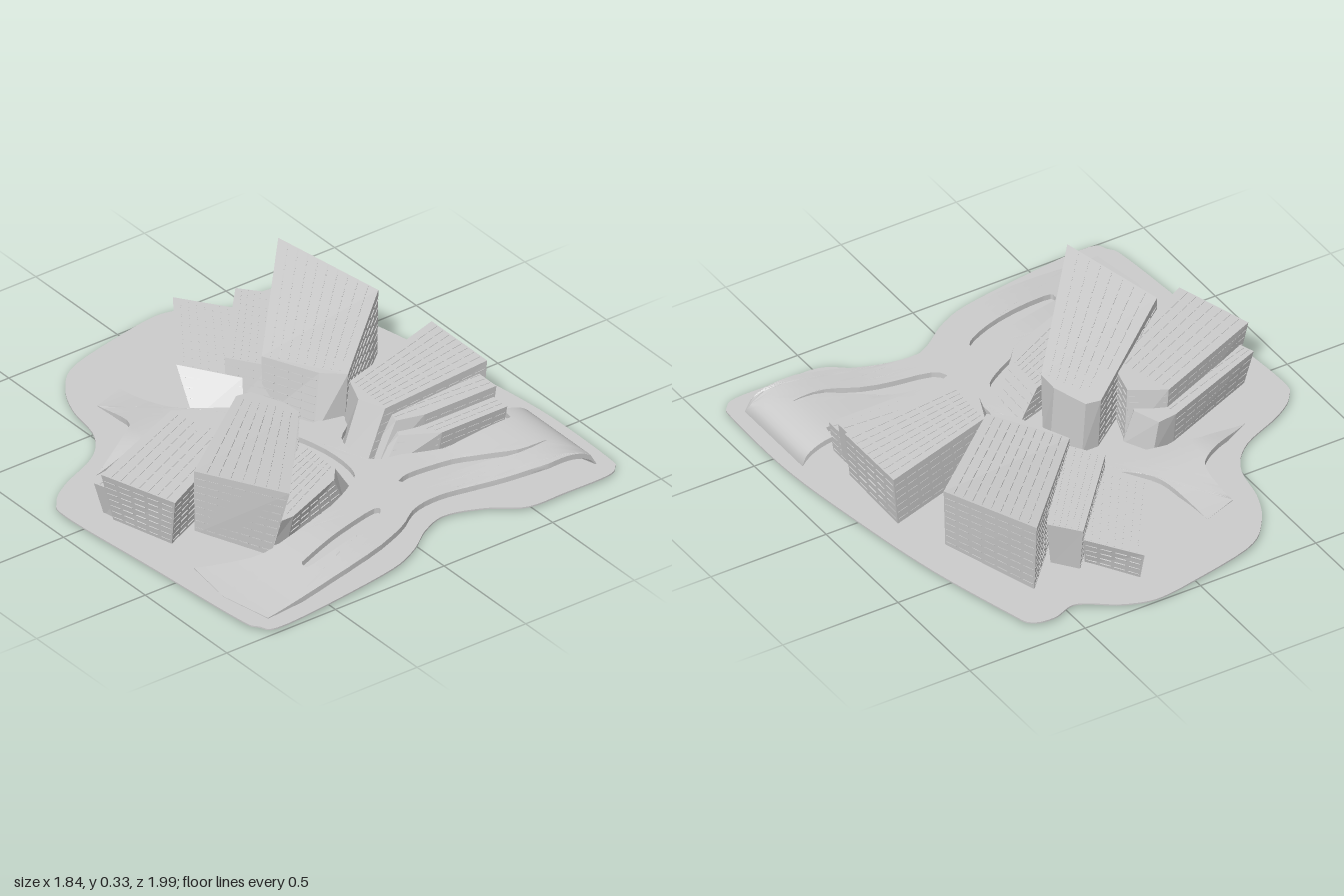
import * as THREE from 'three';
import { mergeGeometries, toCreasedNormals } from 'three/addons/utils/BufferGeometryUtils.js';

const grey = new THREE.MeshStandardMaterial({ color: 0xcccccc });
const V = (p) => new THREE.Vector3(...p);
const P = ([x, z]) => new THREE.Vector2(x, -z);

function mesh(name, geometry) {
  const m = new THREE.Mesh(geometry, grey);
  m.name = name;
  return m;
}

// Outline in plan: a chain of smooth runs meeting at corners
function outline(runs, Type = THREE.Shape) {
  const s = new Type();
  s.moveTo(...P(runs[0][0]).toArray());
  runs.forEach((run, i) => {
    if (i) s.lineTo(...P(run[0]).toArray());
    if (run.length > 1) s.splineThru(run.slice(1).map(P));
  });
  s.closePath();
  return s;
}

function slab(shape, depth, curveSegments) {
  return new THREE.ExtrudeGeometry(shape, { depth, bevelEnabled: false, curveSegments }).rotateX(-Math.PI / 2);
}

// Split each triangle into four, so a flat slab can be bent
function subdivide(geometry, levels) {
  let src = Array.from(geometry.getAttribute('position').array);
  for (let l = 0; l < levels; l++) {
    const out = [];
    for (let i = 0; i < src.length; i += 9) {
      const [a, b, c] = [0, 3, 6].map((k) => src.slice(i + k, i + k + 3));
      const mid = (p, q) => p.map((v, k) => (v + q[k]) / 2);
      const ab = mid(a, b), bc = mid(b, c), ca = mid(c, a);
      for (const p of [a, ab, ca, ab, b, bc, ca, bc, c, ab, bc, ca]) out.push(...p);
    }
    src = out;
  }
  return new THREE.BufferGeometry().setAttribute('position', new THREE.Float32BufferAttribute(src, 3));
}

// Rows of slim dashes over a quad, running from edge ab to edge dc
function dashes(a, b, c, d, rows, cols, out) {
  const at = (u, v) => a.clone().lerp(b, u).lerp(d.clone().lerp(c, u), v);
  const n = b.clone().sub(a).cross(d.clone().sub(a)).normalize();
  for (let r = 1; r < rows; r++) for (let k = 0; k < cols; k++) {
    const p = at(r / rows, (k + 0.12) / cols), q = at(r / rows, (k + 0.88) / cols);
    const dir = q.clone().sub(p), len = dir.length();
    dir.normalize();
    const side = dir.clone().cross(n).normalize();
    const m = new THREE.Matrix4().makeBasis(dir, side.clone().cross(dir), side).setPosition(p.lerp(q, 0.5));
    out.push(new THREE.BoxGeometry(len, 0.004, 0.004).applyMatrix4(m));
  }
}

// Leaning hall: base polygon lofted to a roof polygon, with seams on roof and walls
function hall(name, topPts, basePts, quad, seams) {
  const group = new THREE.Group();
  group.name = name;
  const top = topPts.map(V), base = basePts.map(([x, z]) => new THREE.Vector3(x, 0, z));
  const n = top.length, tris = [], lines = [];
  for (let i = 0; i < n; i++) {
    const j = (i + 1) % n;
    tris.push(base[i], base[j], top[j], base[i], top[j], top[i]);
    const wide = top[i].distanceTo(top[j]);
    if (wide > 0.15) dashes(top[i], base[i], base[j], top[j], Math.round(top[i].y / 0.03), Math.ceil(wide / 0.07), lines);
  }
  const cap = (pts, flip) => {
    for (const f of THREE.ShapeUtils.triangulateShape(pts.map((p) => new THREE.Vector2(p.x, -p.z)), []))
      tris.push(...(flip ? f.reverse() : f).map((i) => pts[i]));
  };
  cap(top, false);
  cap(base, true);
  const shell = new THREE.BufferGeometry().setFromPoints(tris);
  shell.computeVertexNormals();
  dashes(...quad.map((i) => top[i]), seams, 8, lines);
  group.add(mesh('shell', shell), mesh('seams', mergeGeometries(lines)));
  return group;
}

// Walkway height: ramps on the left and at the back, a hump rolling over on the right
function deckHeight(x, z) {
  const s = THREE.MathUtils.smoothstep;
  const roll = Math.sqrt(Math.max(0, 1 - Math.max(0, (x - 0.7) / 0.16) ** 2));
  const west = s(x, -0.85, -0.2), hump = s(x, 0.3, 0.7);
  const back = s(z, -0.7, -0.3) * s(x, -0.7, -0.4);
  const front = west * (0.058 + 0.027 * hump) * roll;
  return 0.014 + THREE.MathUtils.lerp(0.045 * back, front, s(z, -0.2, 0.3));
}

export function createModel() {
  const model = new THREE.Group();

  // Ground plate
  const plate = outline([[
    [0.08, -0.99], [-0.26, -0.91], [-0.39, -0.8], [-0.46, -0.66], [-0.5, -0.48], [-0.6, -0.36], [-0.79, -0.27],
    [-0.89, -0.19], [-0.92, -0.08], [-0.88, 0.37], [-0.84, 0.84], [-0.81, 0.94], [-0.72, 0.99], [-0.23, 0.93],
    [-0.05, 0.87], [0.08, 0.78], [0.2, 0.74], [0.35, 0.79], [0.48, 0.875], [0.65, 0.88], [0.84, 0.88], [0.9, 0.85],
    [0.92, 0.78], [0.92, 0.4], [0.87, 0], [0.8, -0.4], [0.7, -0.78], [0.66, -0.88], [0.57, -0.9], [0.48, -0.87],
    [0.42, -0.89], [0.32, -0.96], [0.2, -1], [0.08, -0.99]]]);
  model.add(mesh('groundPlate', toCreasedNormals(slab(plate, 0.006, 5).translate(0, 0.008, 0), 0.6)));

  // Raised walkway with two leaf-shaped openings
  const deck = outline([
    [[-0.75, 0.92], [-0.3, 0.87], [-0.05, 0.79], [0.08, 0.71], [0.2, 0.69], [0.33, 0.71], [0.5, 0.76], [0.64, 0.79]],
    [[0.86, 0.79]], [[0.86, 0.39]], [[0.73, 0.39]], [[0.72, 0.45]], [[0.42, 0.45]],
    [[0.27, 0.38], [0.17, 0.35], [0.14, 0.27], [0.16, 0.16], [0.25, 0.08], [0.27, 0]],
    [[0.15, 0], [0.09, -0.13], [0, -0.25], [-0.12, -0.34], [-0.19, -0.42], [-0.22, -0.55], [-0.23, -0.68]],
    [[-0.37, -0.63], [-0.37, -0.45], [-0.44, -0.37], [-0.66, -0.25]],
    [[-0.45, -0.28], [-0.26, -0.25], [-0.12, -0.21], [-0.02, -0.1], [0.04, 0.03], [0.07, 0.2], [0.06, 0.36],
      [0, 0.43], [-0.18, 0.52], [-0.39, 0.57], [-0.55, 0.58], [-0.76, 0.48]],
    [[-0.79, 0.7]]]);
  deck.holes.push(
    outline([[[-0.45, 0.73], [-0.25, 0.67], [-0.04, 0.62], [-0.04, 0.66], [-0.18, 0.72], [-0.43, 0.77], [-0.46, 0.75], [-0.45, 0.73]]], THREE.Path),
    outline([[[0.15, 0.52], [0.22, 0.5], [0.38, 0.52], [0.5, 0.58], [0.62, 0.645], [0.74, 0.655], [0.6, 0.66], [0.45, 0.61], [0.2, 0.57], [0.15, 0.52]]], THREE.Path));
  const walk = subdivide(slab(deck, 1, 3), 3);
  const pos = walk.getAttribute('position');
  for (let i = 0; i < pos.count; i++) {
    const h = deckHeight(pos.getX(i), pos.getZ(i));
    pos.setY(i, Math.max(0.01, h - 0.022 * (1 - pos.getY(i))));
  }
  model.add(mesh('walkway', toCreasedNormals(walk, 0.6)));

  // Halls on the left of the path
  const flat = (y, pts) => pts.map(([x, z]) => [x, y, z]);
  model.add(
    hall('frontWestHall',
      [[-0.61, 0.28, 0.28], [-0.47, 0.33, 0.68], [-0.02, 0.245, 0.14], [-0.02, 0.24, 0.05], [-0.07, 0.235, -0.09], [-0.13, 0.235, -0.1]],
      [[-0.6, 0.27], [-0.48, 0.57], [-0.02, 0.13], [-0.01, 0.06], [-0.06, -0.08], [-0.13, -0.08]], [0, 1, 2, 5], 8),
    hall('lowWestHall',
      flat(0.14, [[-0.46, 0.35], [-0.46, 0.57], [-0.37, 0.57], [-0.1, 0.46], [-0.05, 0.4], [-0.04, 0.2]]),
      [[-0.45, 0.35], [-0.45, 0.52], [-0.37, 0.53], [-0.03, 0.43], [0.05, 0.36], [0.06, 0.18]], [0, 2, 4, 5], 8),
    hall('rearWestHall',
      flat(0.23, [[-0.85, 0.03], [-0.75, 0.35], [-0.3, 0.12], [-0.25, -0.09], [-0.38, -0.17]]),
      [[-0.79, 0.03], [-0.72, 0.29], [-0.3, 0.1], [-0.23, -0.1], [-0.37, -0.16]], [0, 1, 2, 4], 8),
    hall('rearWestTier',
      flat(0.15, [[-0.83, -0.04], [-0.79, 0.08], [-0.32, 0], [-0.26, -0.12], [-0.3, -0.23], [-0.38, -0.22]]),
      [[-0.79, -0.03], [-0.77, 0.08], [-0.3, 0], [-0.22, -0.1], [-0.28, -0.22], [-0.38, -0.2]], [0, 1, 2, 5], 6));

  // Halls on the right of the path
  model.add(
    hall('mainEastHall',
      [[0.1, 0.245, -0.25], [0.2, 0.245, -0.03], [0.28, 0.245, 0.04], [0.69, 0.275, -0.32], [0.56, 0.33, -0.76]],
      [[0.08, -0.22], [0.15, 0], [0.27, 0.03], [0.67, -0.3], [0.54, -0.71]], [3, 4, 0, 2], 10),
    hall('middleEastHall',
      flat(0.21, [[0.02, -0.37], [0.12, -0.22], [0.43, -0.62], [0.34, -0.73]]),
      [[0, -0.33], [0.09, -0.18], [0.4, -0.6], [0.33, -0.69]], [2, 3, 0, 1], 6),
    hall('rearEastHall',
      flat(0.145, [[-0.09, -0.52], [0.05, -0.3], [0.32, -0.7], [0.18, -0.9]]),
      [[-0.13, -0.36], [0, -0.23], [0.29, -0.66], [0.17, -0.85]], [2, 3, 0, 1], 8),
    hall('frontEastHall',
      flat(0.22, [[0.28, 0.05], [0.23, 0.17], [0.27, 0.28], [0.77, 0.24], [0.77, -0.1]]),
      [[0.24, 0.06], [0.15, 0.17], [0.17, 0.29], [0.74, 0.25], [0.75, -0.1]], [3, 4, 0, 2], 9),
    hall('frontEastTier',
      flat(0.18, [[0.32, 0.22], [0.29, 0.32], [0.4, 0.35], [0.73, 0.35], [0.73, 0.22]]),
      [[0.2, 0.22], [0.2, 0.32], [0.4, 0.34], [0.71, 0.34], [0.71, 0.22]], [3, 4, 0, 1], 4),
    hall('lowEastHall',
      flat(0.135, [[0.32, 0.26], [0.28, 0.35], [0.42, 0.43], [0.72, 0.43], [0.72, 0.26]]),
      [[0.2, 0.27], [0.2, 0.35], [0.41, 0.41], [0.71, 0.41], [0.71, 0.26]], [3, 4, 0, 2], 6));
  return model;
}
